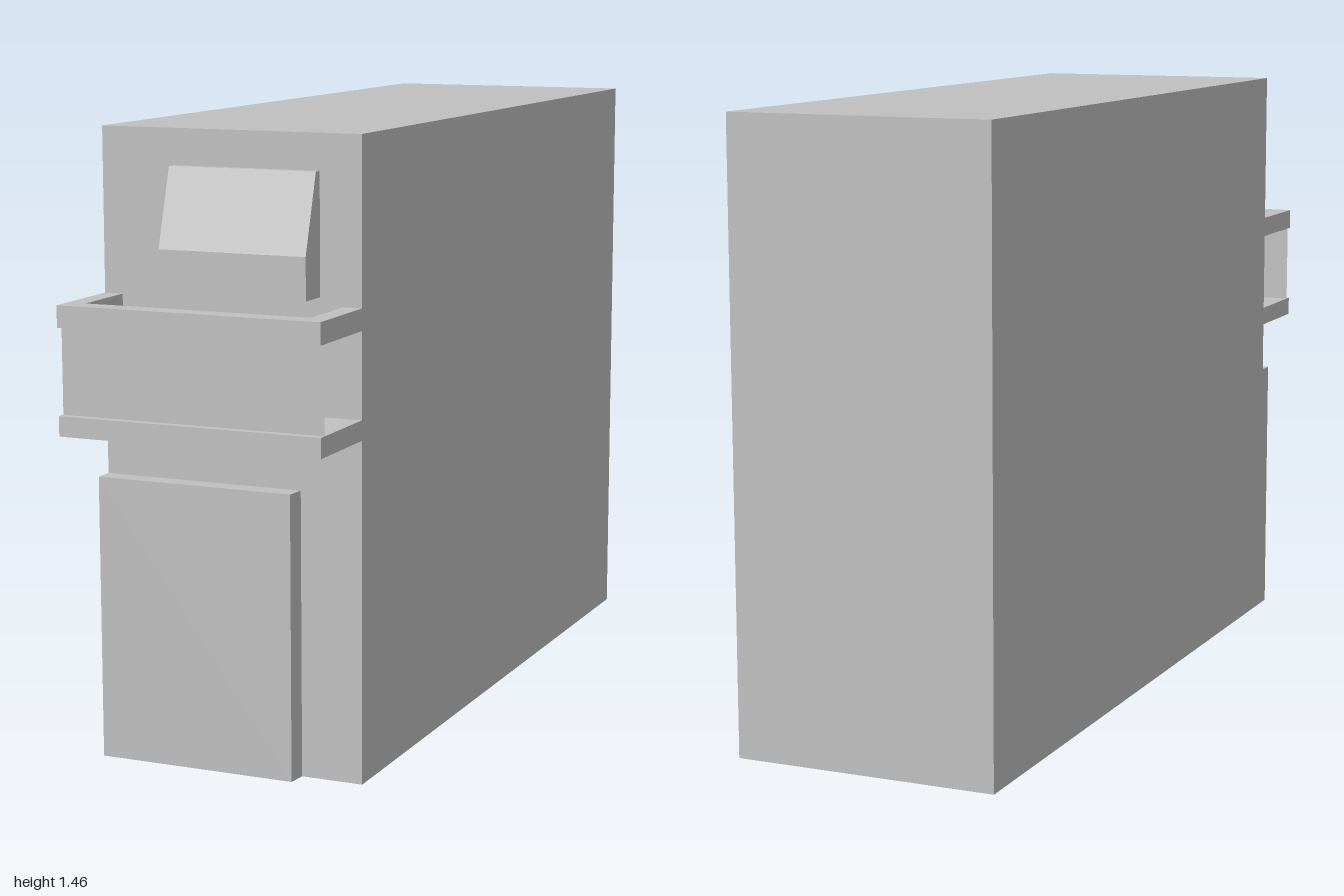
import * as THREE from 'three';

export function createModel() {
  const model = new THREE.Group();
  model.name = 'kioskCabinet';
  const grey = new THREE.MeshStandardMaterial({ color: 0xc0c0c0 });
  grey.name = 'casing grey';
  grey.side = THREE.DoubleSide; // the cabinet is an open shell

  const add = (name, geometry) => {
    const mesh = new THREE.Mesh(geometry, grey);
    mesh.name = name;
    model.add(mesh);
    return mesh;
  };
  const box = (x0, x1, y0, y1, z0, z1) =>
    new THREE.BoxGeometry(x1 - x0, y1 - y0, z1 - z0)
      .translate((x0 + x1) / 2, (y0 + y1) / 2, (z0 + z1) / 2);
  const polygon = (points) => new THREE.Shape(points.map(([a, b]) => new THREE.Vector2(a, b)));
  const extrude = (shape, depth) =>
    new THREE.ExtrudeGeometry(shape, { depth, bevelEnabled: false });

  const W = 0.318, H = 1.463, FRONT = 0.78;

  // Cabinet shell: a box without its underside
  const shell = box(-W, W, 0, H, -1, FRONT);
  const index = Array.from(shell.index.array);
  index.splice(18, 6);
  shell.setIndex(index);
  shell.clearGroups();
  add('cabinetShell', shell);

  // Narrow strip of floor along the left edge
  const strip = new THREE.PlaneGeometry(W - 0.167, FRONT + 1).rotateX(Math.PI / 2);
  strip.translate((W + 0.167) / 2, 0, (FRONT - 1) / 2);
  add('floorStrip', strip);

  // Lower door panel, with one slightly slanted edge
  const door = extrude(polygon([
    [-W, -FRONT], [-W, -0.826], [0.164, -0.826], [0.169, -FRONT],
  ]), 0.665).rotateX(-Math.PI / 2);
  add('lowerDoor', door);

  // Lower shelf: solid plate
  add('lowerShelf', box(-W, W, 0.79, 0.836, FRONT, 1));

  // Upper shelf: U-shaped rim, open towards the cabinet
  const rim = extrude(polygon([
    [-W, -FRONT], [-W, -1], [W, -1], [W, -FRONT],
    [0.273, -FRONT], [0.273, -0.95], [-0.273, -0.95], [-0.273, -FRONT],
  ]), 0.05).rotateX(-Math.PI / 2).translate(0, 1.034, 0);
  add('upperShelfRim', rim);

  // Thin panel joining the two shelves
  add('shelfFrontPanel', new THREE.PlaneGeometry(2 * W, 0.198).translate(0, 0.935, 0.98));

  // Display housing with a sloping upper face
  const display = extrude(polygon([
    [-FRONT, 1.103], [-FRONT, 1.38], [-0.8, 1.38], [-0.855, 1.2], [-0.855, 1.103],
  ]), 0.358).rotateY(Math.PI / 2).translate(-0.14, 0, 0);
  add('displayHousing', display);

  return model;
}
